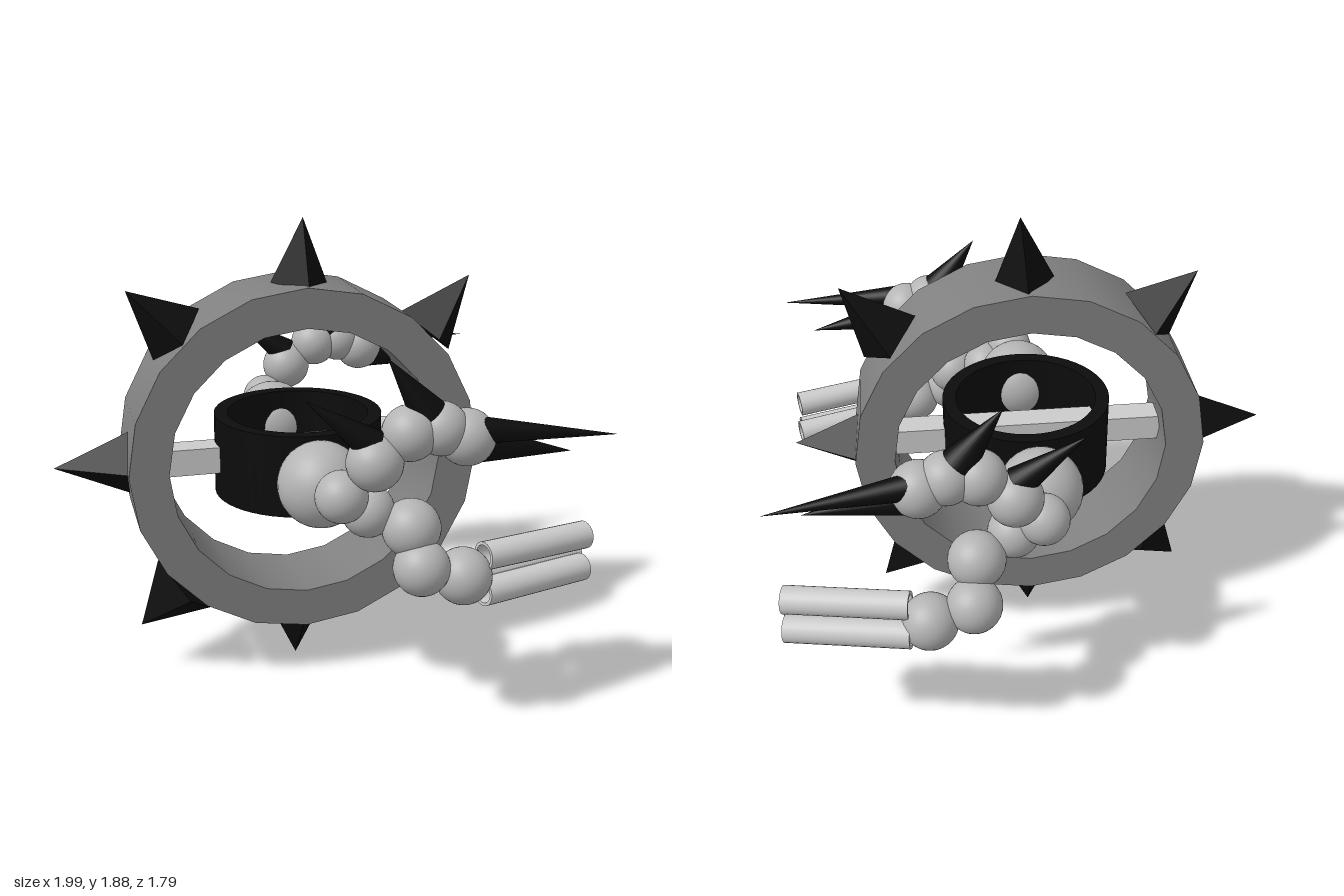
import * as THREE from 'three';
import { toCreasedNormals } from 'three/addons/utils/BufferGeometryUtils.js';

const mat = (color) => new THREE.MeshStandardMaterial({ color });
const black = mat(0x0c0c0c), wheelGrey = mat(0x808080), jointGrey = mat(0xb4b4b4), light = mat(0xcccccc);
const blackFlat = new THREE.MeshStandardMaterial({ color: 0x0c0c0c, flatShading: true });
const V = (a) => new THREE.Vector3(...a);

function add(parent, name, geometry, material, position = [0, 0, 0]) {
  const mesh = new THREE.Mesh(geometry, material);
  mesh.name = name;
  mesh.position.set(...position);
  parent.add(mesh);
  return mesh;
}

// Hollow ring with a square section, centred, axis along z
function ringGeometry(outer, inner, depth, sides) {
  const circle = (r) => Array.from({ length: sides }, (_, i) => {
    const a = (i / sides) * Math.PI * 2;
    return new THREE.Vector2(r * Math.cos(a), r * Math.sin(a));
  });
  const shape = new THREE.Shape(circle(outer));
  shape.holes.push(new THREE.Path(circle(inner)));
  const geo = new THREE.ExtrudeGeometry(shape, { depth, bevelEnabled: false });
  geo.translate(0, 0, -depth / 2);
  return toCreasedNormals(geo, 0.6);
}

// Places a mesh between two points with its own axis along them
function span(mesh, axis, from, to) {
  const a = V(from), b = V(to);
  mesh.position.copy(a).add(b).multiplyScalar(0.5);
  mesh.quaternion.setFromUnitVectors(V(axis), b.sub(a).normalize());
  return mesh;
}

const distance = (a, b) => V(a).distanceTo(V(b));

function spike(parent, name, base, tip, radius) {
  const geo = new THREE.ConeGeometry(radius, distance(base, tip), 24);
  return span(add(parent, name, geo, black), [0, 1, 0], base, tip);
}

function barrel(parent, from, to) {
  const geo = ringGeometry(0.054, 0.042, distance(from, to), 24);
  return span(add(parent, 'barrel', geo, light), [0, 0, 1], from, to);
}

function ball(parent, name, x, y, z, r) {
  add(parent, name, new THREE.SphereGeometry(r, 32, 20), jointGrey, [x, y, z]);
}

// Wheel with eight four-sided spikes: base x, base y, tip x, tip y, half width
function buildWheel() {
  const wheel = new THREE.Group();
  wheel.name = 'spikedWheel';
  add(wheel, 'wheelRing', ringGeometry(0.707, 0.55, 0.368, 20), wheelGrey, [-0.02, 0.93, 0.03]);
  const spikes = [
    [-0.01, 1.62, 0.005, 1.875, 0.115], [0.52, 1.4, 0.7, 1.62, 0.135],
    [0.65, 0.93, 0.93, 0.93, 0.13], [0.43, 0.395, 0.61, 0.205, 0.14],
    [-0.02, 0.25, -0.025, 0.0, 0.125], [-0.5, 0.375, -0.685, 0.21, 0.16],
    [-0.69, 0.93, -1, 0.93, 0.135], [-0.5, 1.44, -0.69, 1.62, 0.135],
  ];
  for (const [bx, by, tx, ty, half] of spikes) {
    const h = Math.hypot(tx - bx, ty - by);
    const geo = new THREE.ConeGeometry(1, h, 4).scale(half, 1, 0.17);
    const mesh = add(wheel, 'wheelSpike', geo, blackFlat, [(bx + tx) / 2, (by + ty) / 2, 0.025]);
    mesh.rotation.z = Math.atan2(ty - by, tx - bx) - Math.PI / 2;
  }
  return wheel;
}

// Upright open drum at the centre, held by a cross bar
function buildCore() {
  const core = new THREE.Group();
  core.name = 'core';
  const drum = add(core, 'drum', ringGeometry(0.34, 0.285, 0.33, 48), black, [-0.015, 0.93, 0.022]);
  drum.rotation.x = Math.PI / 2;
  add(core, 'crossBar', new THREE.BoxGeometry(1.14, 0.108, 0.11), light, [-0.02, 0.93, 0.03]);
  return core;
}

// Arm pair on one side: z maps a front depth to this side, low holds the gun limb depths
function buildArm(name, z, low) {
  const arm = new THREE.Group();
  arm.name = name;
  ball(arm, 'shoulder', -0.025, 0.93, z(0.438), 0.167);
  ball(arm, 'armRoot', -0.01, 0.965, z(0.67), 0.098);

  // Upper limb, ending in the horned head
  const upper = [[0.1, 1.1, 0.71, 0.105], [0.23, 1.2, 0.705, 0.103], [0.345, 1.21, 0.71, 0.1], [0.445, 1.17, 0.71, 0.106]];
  for (const [x, y, d, r] of upper) ball(arm, 'upperJoint', x, y, z(d), r);
  spike(arm, 'backSpike', [0.09, 1.165, z(0.705)], [-0.155, 1.345, z(0.705)], 0.062);
  spike(arm, 'backSpike', [0.31, 1.25, z(0.705)], [0.14, 1.48, z(0.705)], 0.075);
  spike(arm, 'upperFang', [0.48, 1.205, z(0.745)], [0.99, 1.17, z(0.81)], 0.05);
  spike(arm, 'lowerFang', [0.48, 1.14, z(0.71)], [0.865, 1.08, z(0.7)], 0.07);

  // Lower limb, ending in three barrels
  const lower = [[0.1, 0.89, 0.1], [0.245, 0.835, 0.11], [0.265, 0.705, 0.106], [0.43, 0.652, 0.108]];
  lower.forEach(([x, y, r], i) => ball(arm, 'lowerJoint', x, y, low.joints[i], r));
  const barrelY = [[0.73, 0.717], [0.59, 0.582], [0.625, 0.612]];
  barrelY.forEach(([y0, y1], i) => {
    const [z0, z1] = low.barrels[i];
    barrel(arm, [0.5, y0, z0], [0.965, y1, z1]);
  });
  return arm;
}

export function createModel() {
  const model = new THREE.Group();
  model.name = 'spikedWheelMachine';
  model.add(buildWheel(), buildCore());
  model.add(buildArm('frontArms', (d) => d, {
    joints: [0.64, 0.71, 0.78, 0.775],
    barrels: [[0.79, 0.665], [0.8, 0.665], [0.72, 0.585]],
  }));
  model.add(buildArm('rearArms', (d) => 0.035 - d, {
    joints: [-0.6, -0.68, -0.785, -0.795],
    barrels: [[-0.79, -0.69], [-0.75, -0.645], [-0.83, -0.73]],
  }));
  return model;
}
